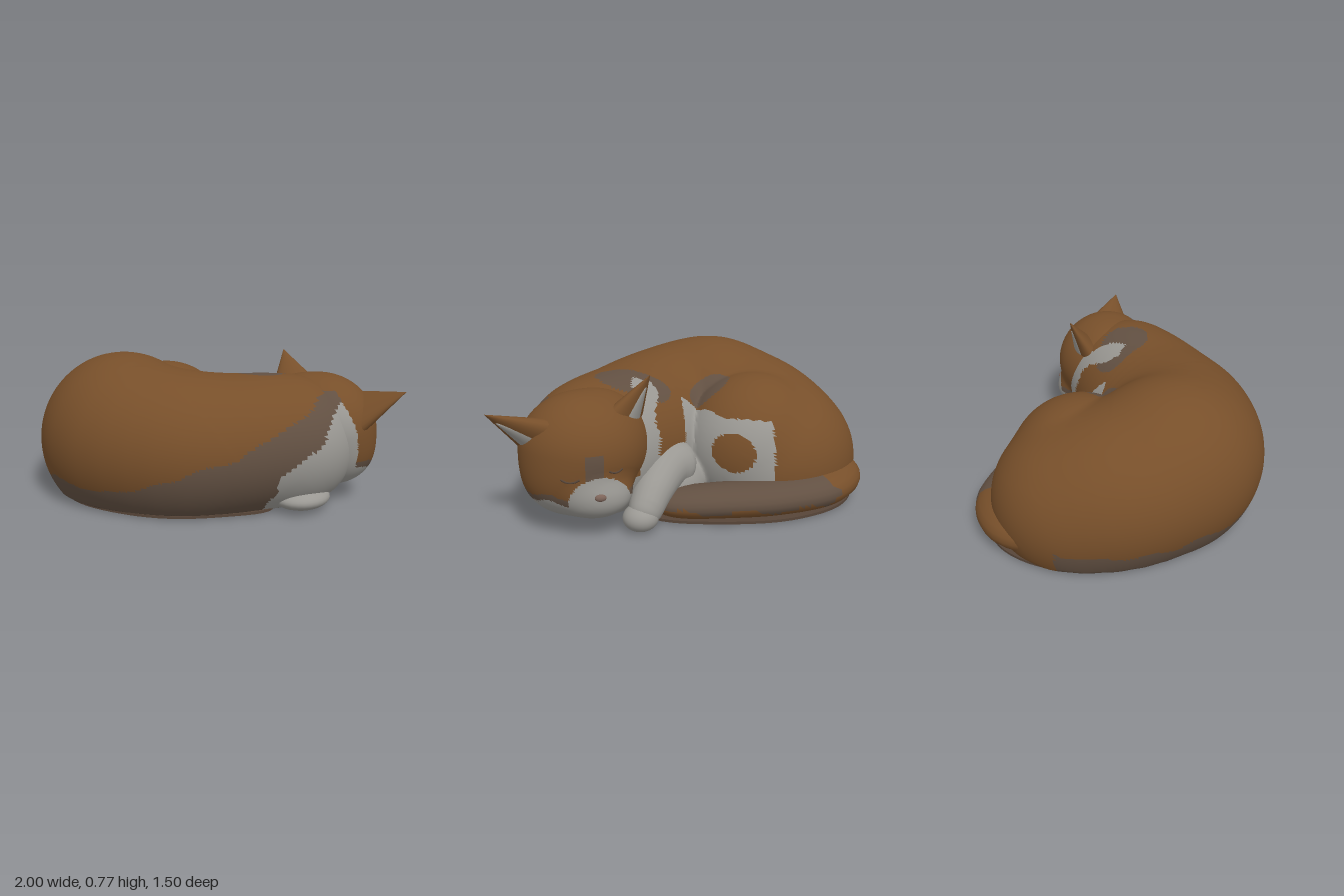
import * as THREE from 'three';
import { mergeVertices, toCreasedNormals } from 'three/addons/utils/BufferGeometryUtils.js';

const material = (name, color) => {
  const m = new THREE.MeshStandardMaterial({ color });
  m.name = name;
  return m;
};
const V = (x, y, z) => new THREE.Vector3(x, y, z);

// Curled spine as [x, y, z, sideways radius, upright radius], rump to shoulder
const SPINE = [
  [-0.53, 0.18, -0.12, 0.465, 0.425], [-0.48, 0.24, 0.06, 0.455, 0.435], [-0.36, 0.28, 0.20, 0.455, 0.445],
  [-0.19, 0.30, 0.29, 0.455, 0.445], [0.07, 0.29, 0.19, 0.445, 0.415], [0.25, 0.30, 0.01, 0.425, 0.38],
  [0.38, 0.32, -0.14, 0.39, 0.36], [0.48, 0.32, -0.27, 0.355, 0.355],
];
const spinePath = new THREE.CatmullRomCurve3(SPINE.map(([x, y, z]) => V(x, y, z)));
const spineSize = new THREE.CatmullRomCurve3(SPINE.map(([, , , side, up]) => V(side, up, side)));

// Ellipsoids as [cx, cy, cz, rx, ry, rz], blended smoothly into one form
const BODY = [
  [-0.41, 0.27, -0.17, 0.39, 0.385, 0.38], // haunch
  [0.12, 0.12, -0.25, 0.25, 0.20, 0.24], // chest
];
for (let i = 0; i <= 24; i++) {
  BODY.push([...spinePath.getPoint(i / 24).toArray(), ...spineSize.getPoint(i / 24).toArray()]);
}
const HEAD = [
  [0.545, 0.40, -0.45, 0.315, 0.28, 0.28], // skull
  [0.59, 0.27, -0.48, 0.25, 0.20, 0.22], // cheeks
  [0.49, 0.21, -0.62, 0.16, 0.11, 0.12], // muzzle
  [0.44, 0.38, -0.37, 0.23, 0.27, 0.21], // neck
];

function distance(p, parts, k) {
  let d = Infinity;
  for (const [cx, cy, cz, rx, ry, rz] of parts) {
    const x = (p.x - cx) / rx, y = (p.y - cy) / ry, z = (p.z - cz) / rz;
    const k0 = Math.sqrt(x * x + y * y + z * z);
    const k1 = Math.sqrt((x / rx) ** 2 + (y / ry) ** 2 + (z / rz) ** 2) || 1;
    const e = k0 * (k0 - 1) / k1;
    if (d === Infinity) { d = e; continue; }
    const h = Math.max(k - Math.abs(d - e), 0) / k;
    d = Math.min(d, e) - h * h * k / 4;
  }
  return d;
}

// Walk inward along a ray until it meets the blended form
function onSurface(dir, centre, parts, k) {
  const p = V();
  let r = 1.4;
  for (let i = 0; i < 80 && r > 0; i++) {
    p.copy(centre).addScaledVector(dir, r);
    const d = distance(p, parts, k);
    if (d < 0.0008) break;
    r -= d * 0.8;
  }
  return p;
}

function sculpt(centre, parts, k, w, h, floor) {
  let geo = new THREE.SphereGeometry(1, w, h);
  geo.deleteAttribute('uv');
  geo.deleteAttribute('normal');
  geo = mergeVertices(geo);
  const pos = geo.attributes.position, dir = V();
  for (let i = 0; i < pos.count; i++) {
    dir.fromBufferAttribute(pos, i).normalize();
    const p = onSurface(dir, centre, parts, k);
    pos.setXYZ(i, p.x, Math.max(p.y, floor), p.z);
  }
  return toCreasedNormals(geo, 0.8);
}

// Tapered tube with rounded ends, flattened upright by squash
function limb(points, r0, r1, squash) {
  const n = 48, m = 20;
  const curve = new THREE.CatmullRomCurve3(points.map((p) => V(...p)));
  let geo = new THREE.TubeGeometry(curve, n, 1, m);
  const pos = geo.attributes.position, v = V();
  for (let i = 0; i < pos.count; i++) {
    const t = Math.floor(i / (m + 1)) / n, c = curve.getPointAt(t);
    const r = (r0 + (r1 - r0) * t) * Math.sqrt(Math.max(0, 1 - Math.abs(2 * t - 1) ** 9));
    v.fromBufferAttribute(pos, i).sub(c).multiplyScalar(r);
    v.y *= squash;
    v.add(c);
    pos.setXYZ(i, v.x, Math.max(v.y, 0.012), v.z);
  }
  geo.deleteAttribute('uv');
  geo.deleteAttribute('normal');
  geo = mergeVertices(geo);
  return toCreasedNormals(geo, 0.8);
}

// Sort the faces into one group per coat colour
function paint(geo, rule) {
  const pos = geo.attributes.position, buckets = [[], [], [], []];
  for (let i = 0; i < pos.count; i += 3) {
    const mid = (get) => (get(i) + get(i + 1) + get(i + 2)) / 3;
    const c = rule(mid((j) => pos.getX(j)), mid((j) => pos.getY(j)), mid((j) => pos.getZ(j)));
    buckets[c].push(i, i + 1, i + 2);
  }
  geo.setIndex(buckets.flat());
  let start = 0;
  buckets.forEach((b, c) => {
    if (b.length) geo.addGroup(start, b.length, c);
    start += b.length;
  });
  return geo;
}

const [GINGER, TAUPE, WHITE, UNDER] = [0, 1, 2, 3];

function bodyCoat(x, y, z) {
  if (y < 0.02) return UNDER;
  const wave = 0.012 * Math.sin(23 * z + 9 * x) + 0.008 * Math.sin(41 * y + 17 * x);
  if (x < 0 && z < -0.05) { // haunch with a pale rim
    const rim = ((x + 0.47) / 0.46) ** 2 + ((z + 0.16) / 0.4) ** 2;
    const patch = Math.hypot(x + 0.22, y - 0.32) < 0.1;
    if (x > -0.42 && z < -0.2 && rim > 0.72 + 3 * wave && !patch) return WHITE;
    return Math.hypot((x + 0.17) / 0.11, (z + 0.15) / 0.1) < 0.9 + 8 * wave ? TAUPE : GINGER;
  }
  if (x < 0.48 && z < -0.05 && y > 0.27) { // chest tucked under the chin
    if (z < -0.18 + wave && Math.abs(x - 0.21) < 0.055 + wave) return WHITE;
    return Math.hypot((x - 0.27) / 0.2, (z + 0.22) / 0.13) < 1 + 6 * wave ? TAUPE : GINGER;
  }
  if (x > 0 && z < 0.04 + wave && y < 0.28 - 0.85 * z + wave) return WHITE;
  const side = THREE.MathUtils.smoothstep(x, -0.1, 0.3);
  return y < 0.14 + side * Math.max(0, 0.34 - 0.5 * z) + wave ? TAUPE : GINGER;
}

function headCoat(x, y, z) {
  const wave = 0.012 * Math.sin(31 * x + 13 * z);
  const muzzle = z < -0.58 && Math.hypot((x - 0.49) / 0.15, (y - 0.2) / 0.13) < 1;
  const blaze = z < -0.6 && Math.abs(x - 0.5) < 0.045 + wave && y < 0.44;
  const nape = x > 0.5 && z > -0.36 - 0.2 * (0.52 - y) + wave;
  if (muzzle || y < 0.2 + wave || (nape && y < 0.28 - 0.85 * z)) return WHITE;
  if (blaze || y < 0.235 + wave || (nape && y < 0.62)) return TAUPE;
  return GINGER;
}

export function createModel() {
  const model = new THREE.Group();
  const ginger = material('ginger fur', 0x774f2a);
  const taupe = material('taupe fur', 0x625042);
  const white = material('white fur', 0x9a9893);
  const under = material('dark underside', 0x574538);
  const nosePink = material('nose', 0x7d6459);
  const coat = [ginger, taupe, white, under];
  const add = (name, geo, mat, parent = model) => {
    const mesh = new THREE.Mesh(geo, mat);
    mesh.name = name;
    parent.add(mesh);
    return mesh;
  };

  // Curled body
  add('body', paint(sculpt(V(-0.1, 0.3, 0.1), BODY, 0.025, 250, 140, 0.015), bodyCoat), coat);

  // Flat base closing the body and tail, with a round plug
  const rim = [[0.17, -0.55], [0.31, -0.38], [0.45, -0.2], [0.58, -0.02], [0.48, 0.22], [0.31, 0.44], [0.1, 0.57],
    [-0.18, 0.64], [-0.42, 0.58], [-0.63, 0.45], [-0.82, 0.22], [-0.92, 0], [-0.95, -0.2], [-0.9, -0.41],
    [-0.75, -0.57], [-0.45, -0.67], [-0.1, -0.64]];
  const outline = new THREE.CatmullRomCurve3(rim.map(([x, z]) => V(x, -z, 0)), true).getPoints(90);
  const base = new THREE.ExtrudeGeometry(new THREE.Shape(outline), { depth: 0.014, bevelEnabled: false });
  add('base', base.rotateX(-Math.PI / 2), under).position.y = 0.006;
  add('basePlug', new THREE.CylinderGeometry(0.08, 0.08, 0.008, 28), under).position.set(-0.15, 0.006, -0.1);

  // Tail wrapped around the haunch
  add('tail', paint(limb([[-0.78, 0.13, -0.1], [-0.815, 0.12, -0.34], [-0.68, 0.11, -0.5], [-0.42, 0.1, -0.555],
    [-0.12, 0.09, -0.53], [0.07, 0.08, -0.49], [0.2, 0.08, -0.44]], 0.165, 0.125, 0.62),
  (x, y) => {
    if (y < 0.02) return UNDER;
    return x > -0.72 + 0.04 * Math.sin(40 * y) && y > 0.07 + 0.015 * Math.sin(20 * x) ? TAUPE : GINGER;
  }), coat);

  // Forelegs and paws
  add('rightForeleg', limb([[0.0, 0.22, -0.3], [0.1, 0.24, -0.38], [0.2, 0.18, -0.52], [0.26, 0.1, -0.61],
    [0.28, 0.07, -0.67]], 0.135, 0.08, 1), white);
  const paw = new THREE.SphereGeometry(1, 28, 18);
  const rightPaw = add('rightPaw', paw, white);
  rightPaw.position.set(0.285, 0.07, -0.62);
  rightPaw.scale.set(0.09, 0.07, 0.085);
  const leftPaw = add('leftPaw', paw, white);
  leftPaw.position.set(0.655, 0.07, -0.18);
  leftPaw.scale.set(0.138, 0.062, 0.165);

  // Head resting on the paw
  const head = new THREE.Group();
  head.name = 'head';
  model.add(head);
  const headCentre = V(0.55, 0.35, -0.47);
  add('skull', paint(sculpt(headCentre, HEAD, 0.07, 130, 84, 0.05), headCoat), coat, head);

  // Nose and closed eyes laid on the face
  const face = (x, y) => onSurface(V(x - 0.55, y - 0.35, -0.27).normalize(), headCentre, HEAD, 0.07);
  const nose = add('nose', new THREE.SphereGeometry(1, 16, 12), nosePink, head);
  nose.position.copy(face(0.49, 0.24));
  nose.scale.set(0.028, 0.018, 0.014);
  for (const [name, x, y] of [['rightEye', 0.385, 0.36], ['leftEye', 0.635, 0.33]]) {
    const pts = [-1, -0.5, 0, 0.5, 1].map((t) => face(x + 0.05 * t, y - 0.016 * (1 - t * t)));
    add(name, new THREE.TubeGeometry(new THREE.CatmullRomCurve3(pts), 16, 0.005, 6), under, head);
  }

  // Pointed ears with pale inner faces
  const cone = new THREE.ConeGeometry(1, 1, 24, 6).translate(0, 0.5, 0);
  const ears = [
    ['rightEar', V(0.36, 0.52, -0.475), V(0.215, 0.765, -0.52), V(-0.75, 0, -0.65), 0.165],
    ['leftEar', V(0.74, 0.475, -0.5), V(1.0, 0.625, -0.57), V(0.4, -0.6, -0.7), 0.175],
  ];
  for (const [name, root, tip, facing, radius] of ears) {
    const up = tip.clone().sub(root), length = up.length();
    up.normalize();
    const across = V().crossVectors(up, facing).normalize();
    const out = V().crossVectors(across, up);
    const ear = new THREE.Group();
    ear.name = name;
    ear.position.copy(root);
    ear.quaternion.setFromRotationMatrix(new THREE.Matrix4().makeBasis(across, up, out));
    head.add(ear);
    add('earShell', cone, ginger, ear).scale.set(radius, length, radius * 0.45);
    const inner = add('earInner', cone, white, ear);
    inner.scale.set(radius * 0.66, length * 0.8, radius * 0.38);
    inner.position.z = radius * 0.12;
  }
  return model;
}
